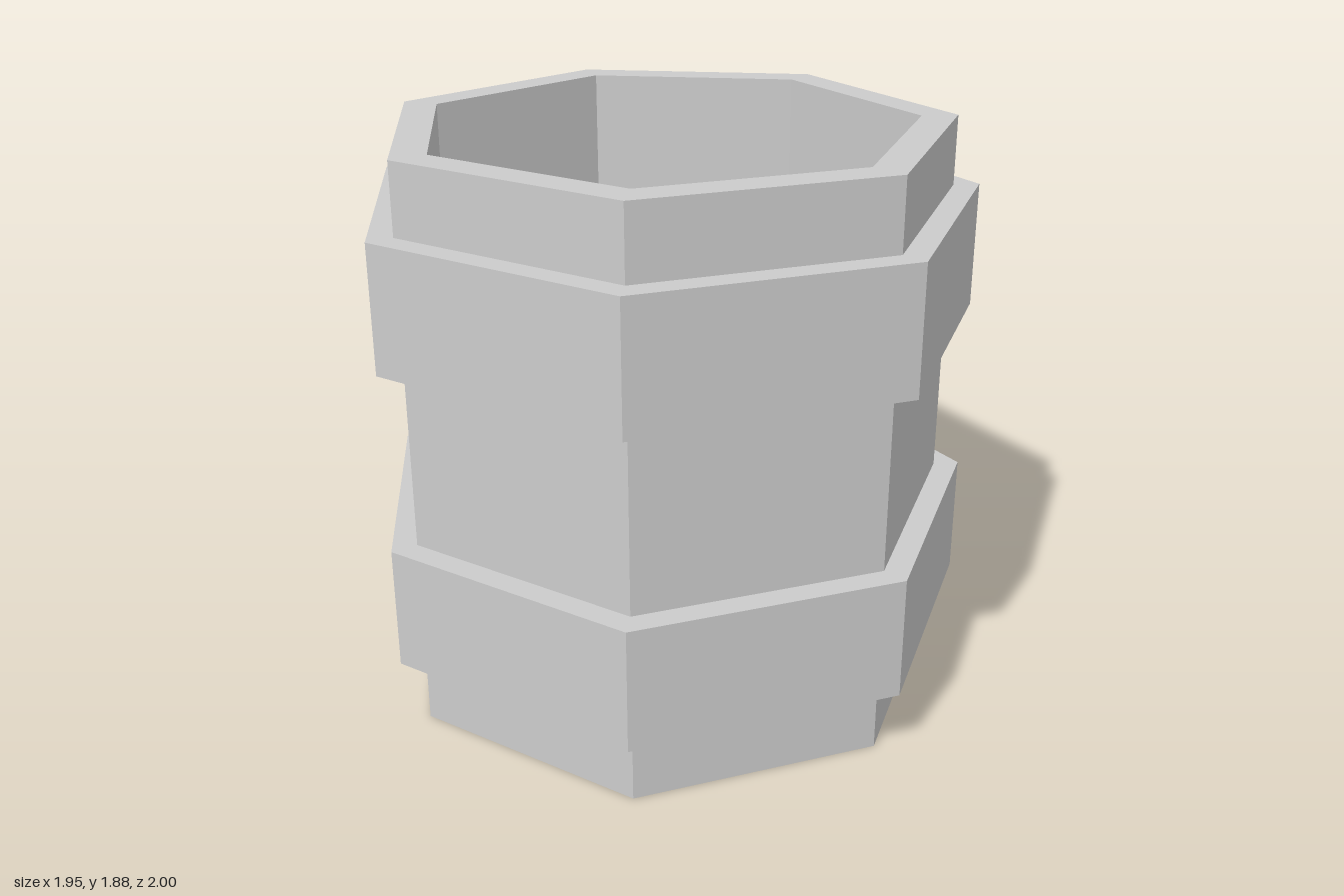
import * as THREE from 'three';

const SIDES = 7;
const HEIGHT = 1.885;
const BODY_R = 0.9385;
const BAND_R = 1.0257;
const HOLLOW_R = 0.8175;
const FLOOR_Y = 0.15;

// Seven-sided turned part, with one corner pointing to +x
function turned(name, profile, material) {
  const points = profile.map(([r, y]) => new THREE.Vector2(r, y));
  const mesh = new THREE.Mesh(new THREE.LatheGeometry(points, SIDES, Math.PI / 2), material);
  mesh.name = name;
  return mesh;
}

export function createModel() {
  const group = new THREE.Group();
  group.name = 'barrel';
  const material = new THREE.MeshStandardMaterial({ color: 0xcccccc, flatShading: true });

  // Open-topped body: base, outer wall, rim, inner wall, floor
  const body = turned('body', [
    [0, 0], [BODY_R, 0], [BODY_R, HEIGHT],
    [HOLLOW_R, HEIGHT], [HOLLOW_R, FLOOR_Y], [0, FLOOR_Y],
  ], material);
  group.add(body);

  // Raised bands around the wall
  const bands = [['lowerBand', 0.235, 0.645], ['upperBand', 1.24, 1.655]];
  for (const [name, y0, y1] of bands) {
    group.add(turned(name, [
      [BODY_R, y0], [BAND_R, y0], [BAND_R, y1], [BODY_R, y1],
    ], material));
  }

  // An odd number of sides is lopsided in x, so centre its extents
  const offset = -BAND_R * (1 - Math.cos(Math.PI / SIDES)) / 2;
  for (const part of group.children) part.position.x = offset;
  return group;
}
